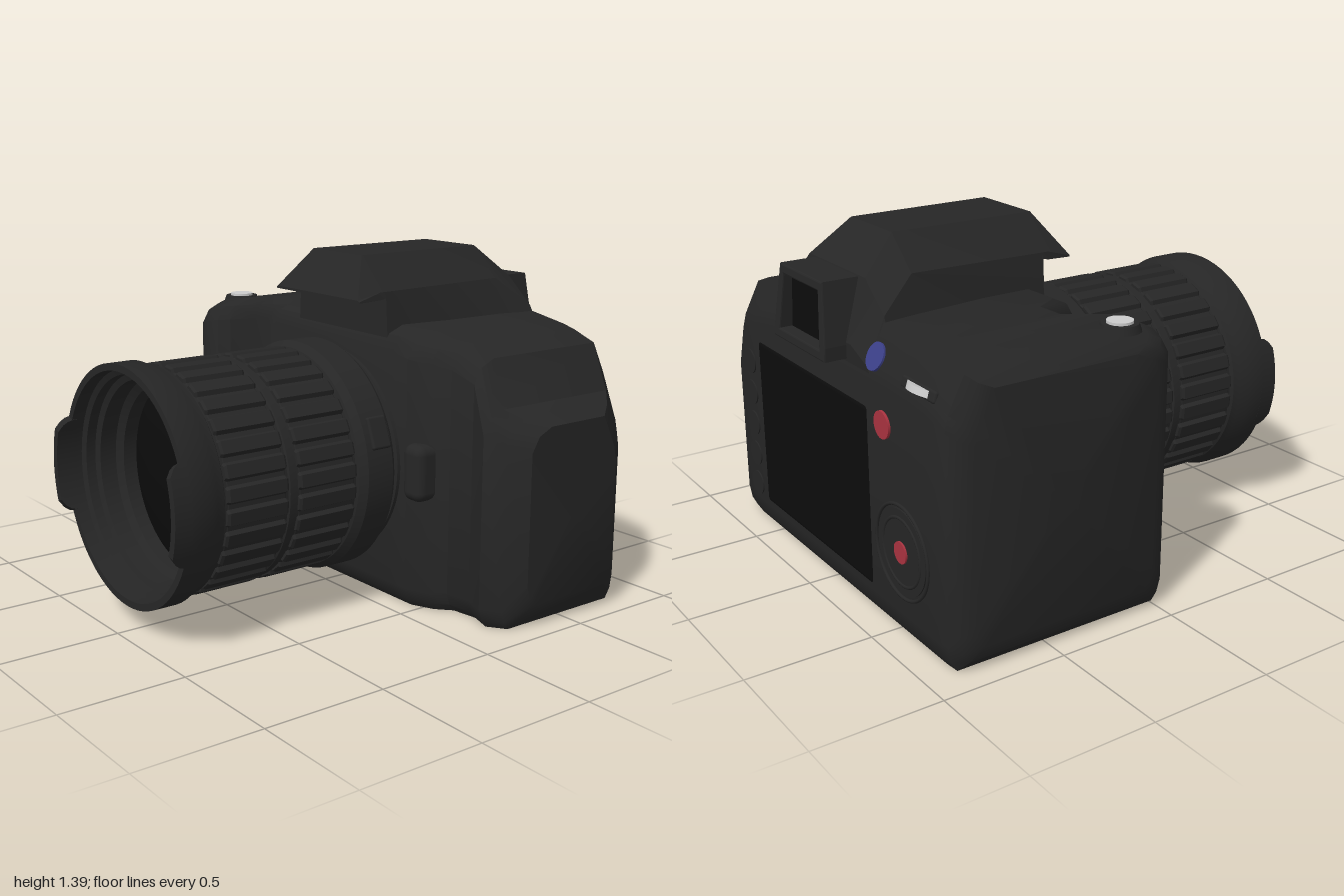
import * as THREE from 'three';
import { toCreasedNormals } from 'three/addons/utils/BufferGeometryUtils.js';
import { RoundedBoxGeometry } from 'three/addons/geometries/RoundedBoxGeometry.js';

const mat = (color) => new THREE.MeshStandardMaterial({ color });
const BODY = mat(0x262626), BLACK = mat(0x0c0c0c), RED = mat(0xaa3340), BLUE = mat(0x3c4088), GREY = mat(0xcccccc);
const LENS_Y = 0.57, LENS_Z = -0.015;

// Skin over closed sections, with both ends capped
function loft(sections, crease) {
  const n = sections[0].length, pos = sections.flat(2), idx = [];
  for (let i = 0; i < sections.length - 1; i++) {
    for (let j = 0; j < n; j++) {
      const a = i * n + j, b = i * n + (j + 1) % n;
      idx.push(a, b, b + n, a, b + n, a + n);
    }
  }
  for (const i of [0, sections.length - 1]) {
    const c = pos.length / 3, s = sections[i];
    for (let k = 0; k < 3; k++) pos.push(s.reduce((t, p) => t + p[k], 0) / n);
    for (let j = 0; j < n; j++) {
      const a = i * n + j, b = i * n + (j + 1) % n;
      if (i) idx.push(c, a, b); else idx.push(c, b, a);
    }
  }
  const g = new THREE.BufferGeometry();
  g.setAttribute('position', new THREE.Float32BufferAttribute(pos, 3));
  g.setIndex(idx);
  return toCreasedNormals(g, crease);
}

// Section of the body at one z: rounded front, chamfered rear top and bottom
const bodySection = ([z, xf, xb, yt, yb]) => [
  [xf + 0.04, yb], [xb - 0.035, yb], [xb - 0.01, yb + 0.04], [xb, yb + 0.1], [xb, yt - 0.19],
  [xb - 0.015, yt - 0.13], [xb - 0.08, yt], [xf + 0.1, yt], [xf + 0.035, yt - 0.03],
  [xf, yt - 0.09], [xf, yb + 0.08], [xf + 0.015, yb + 0.03],
].map(([x, y]) => [x, y, z]);

// Section of the prism hump at one x: base, shoulder and roof as [y, half width]
const humpSection = ([x, b, bw, m, mw, t, tw]) =>
  [[b, -bw], [m, -mw], [t, -tw], [t, tw], [m, mw], [b, bw]].map(([y, z]) => [x, y, z]);

function polygon(points) {
  return new THREE.Shape(points.map(([x, y]) => new THREE.Vector2(x, y)));
}

export function createModel() {
  const root = new THREE.Group();
  const add = (name, geo, material, parent = root) => {
    const m = new THREE.Mesh(geo, material);
    m.name = name;
    parent.add(m);
    return m;
  };
  // Round button on the rear, facing +x
  const disc = (name, r, h, x, y, z, material, tilt = 0) => {
    const m = add(name, new THREE.CylinderGeometry(r, r, h, 40), material);
    m.rotation.z = -Math.PI / 2 + tilt;
    m.position.set(x, y, z);
    return m;
  };

  // Body with grip, from the grip end to the far end: z, front x, rear x, top, bottom
  add('body', loft([
    [-0.93, 0.04, 0.82, 1.04, 0.10], [-0.905, -0.02, 0.87, 1.06, 0.04], [-0.87, -0.05, 0.9, 1.085, 0],
    [-0.81, -0.06, 0.905, 1.105, 0], [-0.75, -0.045, 0.905, 1.115, 0], [-0.70, -0.01, 0.905, 1.12, 0],
    [-0.65, 0.09, 0.905, 1.125, 0], [-0.61, 0.15, 0.905, 1.125, 0], [-0.51, 0.16, 0.905, 1.13, 0],
    [-0.45, 0.06, 0.905, 1.13, 0], [0.36, 0.06, 0.905, 1.125, 0], [0.45, 0.06, 0.905, 1.11, 0],
    [0.54, 0.1, 0.905, 1.095, 0], [0.60, 0.155, 0.905, 1.08, 0], [0.71, 0.17, 0.905, 1.04, 0],
    [0.80, 0.14, 0.89, 0.86, 0], [0.87, 0.19, 0.82, 0.825, 0], [0.93, 0.27, 0.74, 0.80, 0.10],
  ].map(bodySection), 0.6), BODY);

  // Prism hump with its overhanging front
  add('prismHump', loft([
    [-0.045, 1.225, 0.28, 1.23, 0.28, 1.235, 0.27], [0.06, 1.23, 0.285, 1.26, 0.28, 1.395, 0.16],
    [0.085, 1.235, 0.285, 1.26, 0.28, 1.395, 0.16], [0.086, 1.0, 0.3, 1.26, 0.28, 1.395, 0.16],
    [0.67, 1.0, 0.37, 1.27, 0.29, 1.395, 0.155], [0.82, 1.0, 0.41, 1.15, 0.35, 1.26, 0.22],
    [0.9, 0.95, 0.38, 0.98, 0.36, 1.03, 0.24],
  ].map(humpSection), 0.3), BODY);

  // Eyepiece: a hollow frame around a dark window
  const frame = polygon([[-0.2, 0.975], [0.2, 0.975], [0.2, 1.02], [0.165, 1.25], [-0.165, 1.25], [-0.2, 1.02]]);
  const windowPoints = [[-0.17, 1.0], [0.17, 1.0], [0.145, 1.225], [-0.145, 1.225]];
  frame.holes.push(polygon(windowPoints));
  const eyeGeo = new THREE.ExtrudeGeometry(frame, {
    depth: 0.16, bevelThickness: 0.006, bevelSize: 0.006, bevelSegments: 2,
  }).rotateY(Math.PI / 2).translate(0.815, 0, 0);
  const ep = eyeGeo.attributes.position;
  for (let i = 0; i < ep.count; i++) {
    if (ep.getX(i) > 0.9) ep.setX(i, ep.getX(i) + (1.11 - ep.getY(i)) * 0.08);
  }
  eyeGeo.computeVertexNormals();
  add('eyepiece', eyeGeo, BODY);
  add('eyepieceWindow', new THREE.ExtrudeGeometry(polygon(windowPoints), { depth: 0.12, bevelEnabled: false })
    .rotateY(Math.PI / 2).translate(0.815, 0, 0), BLACK);

  // Rear screen
  add('screen', new RoundedBoxGeometry(0.93, 0.725, 0.06, 4, 0.025).rotateY(Math.PI / 2), BLACK)
    .position.set(0.88, 0.477, 0.105);

  // Rear controls
  disc('redButton', 0.052, 0.03, 0.9, 0.8, -0.47, RED);
  disc('blueButton', 0.053, 0.03, 0.872, 1.02, -0.39, BLUE, 0.46);
  disc('controlDial', 0.165, 0.02, 0.9, 0.35, -0.58, BODY);
  for (const r of [0.18, 0.13]) {
    add('dialRing', new THREE.TorusGeometry(r, 0.007, 8, 48).rotateY(Math.PI / 2), BODY).position.set(0.908, 0.35, -0.58);
  }
  disc('dialCentre', 0.042, 0.03, 0.902, 0.35, -0.58, RED);
  for (let i = 0; i < 5; i++) disc('sideButton', 0.052, 0.012, 0.904, 0.17 + i * 0.1375, 0.655, BODY);

  // Thumb wheel in its slot
  const wheel = new THREE.Group();
  wheel.name = 'thumbWheel';
  wheel.position.set(0.872, 0.99, -0.69);
  wheel.rotation.z = 0.3;
  add('wheelSlot', new RoundedBoxGeometry(0.04, 0.045, 0.22, 2, 0.01), BODY, wheel);
  add('wheelDisc', new THREE.CylinderGeometry(0.11, 0.11, 0.026, 40), GREY, wheel).position.x = -0.065;
  root.add(wheel);

  // Shutter button on the grip
  const collar = add('shutterCollar', new THREE.CylinderGeometry(0.07, 0.08, 0.03, 40), BODY);
  collar.position.set(0.12, 1.105, -0.8);
  add('shutterButton', new THREE.CylinderGeometry(0.05, 0.05, 0.03, 40), GREY).position.set(0.12, 1.115, -0.8);

  // Lens release bump beside the mount
  add('lensRelease', new RoundedBoxGeometry(0.12, 0.23, 0.11, 4, 0.04)).position.set(0.09, 0.575, 0.505);
  root.children.at(-1).material = BODY;

  // Lens, pointing along -x
  const lens = new THREE.Group();
  lens.name = 'lens';
  lens.position.set(0, LENS_Y, LENS_Z);
  root.add(lens);
  const lathe = (points) => toCreasedNormals(new THREE.LatheGeometry(
    points.map(([r, h]) => new THREE.Vector2(r, h)), 72).rotateZ(Math.PI / 2), 0.5);
  add('lensBarrel', lathe([
    [0.43, -0.1], [0.43, -0.045], [0.41, -0.04], [0.41, -0.025], [0.465, 0], [0.475, 0.015], [0.475, 0.135],
    [0.452, 0.165], [0.438, 0.17], [0.438, 0.45], [0.446, 0.455], [0.446, 0.485], [0.438, 0.49], [0.438, 0.77],
    [0.452, 0.78], [0.458, 0.81], [0.475, 0.845], [0.475, 0.945], [0.447, 0.945], [0.447, 0.89], [0.425, 0.88],
    [0.425, 0.84], [0.4, 0.83], [0.4, 0.76], [0.37, 0.74], [0.37, 0.68],
  ]), BODY);
  add('lensGlass', lathe([[0.375, 0.68], [0.3, 0.705], [0.2, 0.72], [0.1, 0.73], [0, 0.732]]), BLACK);

  // Ribbed zoom and focus rings
  const ribs = 32, ring = [];
  for (let i = 0; i < ribs; i++) {
    for (const [f, r] of [[0.1, 0.434], [0.22, 0.45], [0.7, 0.45], [0.82, 0.434]]) {
      const a = (i + f) / ribs * Math.PI * 2;
      ring.push([Math.cos(a) * r, Math.sin(a) * r]);
    }
  }
  const grip = polygon(ring);
  grip.holes.push(new THREE.Path().absarc(0, 0, 0.42, 0, Math.PI * 2, true));
  for (const [name, h] of [['zoomRing', 0.185], ['focusRing', 0.505]]) {
    add(name, new THREE.ExtrudeGeometry(grip, {
      depth: 0.25, bevelThickness: 0.01, bevelSize: 0.006, bevelSegments: 1, curveSegments: 48,
    }).rotateY(-Math.PI / 2).translate(-h, 0, 0), BODY, lens);
  }
  for (const name of ['lensBarrel', 'lensGlass']) lens.add(root.getObjectByName(name));

  // Hood petals on both sides, narrowing towards the tip
  for (const side of [0, Math.PI]) {
    const arc = new THREE.Shape().absarc(0, 0, 0.475, -0.43, 0.43, false);
    arc.absarc(0, 0, 0.445, 0.43, -0.43, true);
    const g = new THREE.ExtrudeGeometry(arc, { depth: 0.075, steps: 4, bevelEnabled: false, curveSegments: 16 });
    const p = g.attributes.position;
    for (let i = 0; i < p.count; i++) {
      const x = p.getX(i), y = p.getY(i), r = Math.hypot(x, y), t = p.getZ(i) / 0.075;
      const a = Math.atan2(y, x) * (1 - 0.25 * t ** 3) + side;
      p.setXY(i, r * Math.cos(a), r * Math.sin(a));
    }
    g.rotateY(-Math.PI / 2).translate(-0.925, 0, 0);
    add('hoodPetal', toCreasedNormals(g, 0.5), BODY, lens);
  }

  // Small switch on the side of the lens
  const toggle = add('lensSwitch', new RoundedBoxGeometry(0.09, 0.13, 0.03, 2, 0.01), BODY, lens);
  toggle.position.set(-0.065, 0.17, 0.438);
  toggle.rotation.x = -0.37;

  return root;
}
